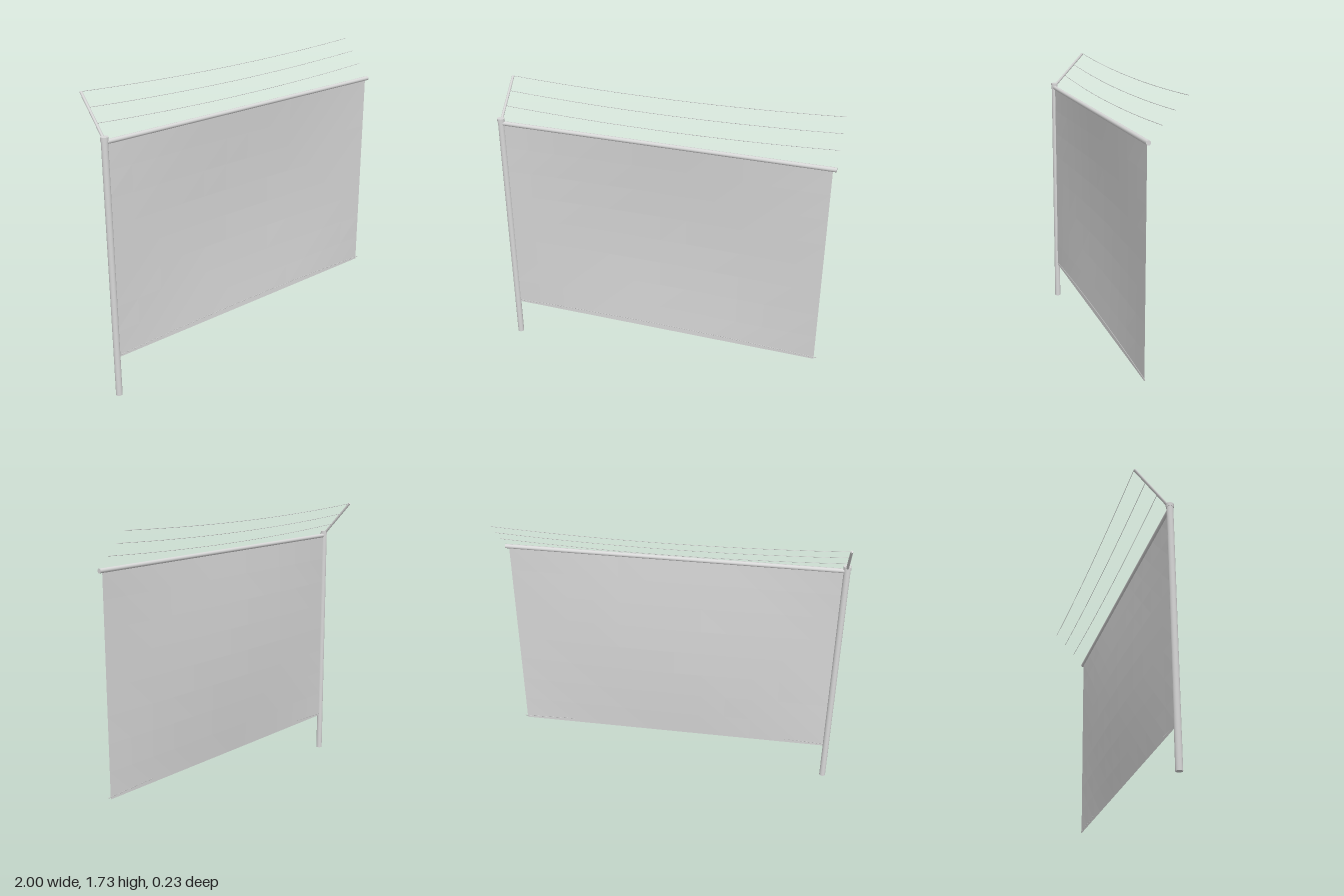
import * as THREE from 'three';

const mat = (name, color, extra = {}) =>
  Object.assign(new THREE.MeshStandardMaterial({ color, ...extra }), { name });

export function createModel() {
  const group = new THREE.Group();
  const steel = mat('galvanised steel', 0xd8d8d8);
  const mesh = mat('fence mesh grey', 0xd6d6d6, { side: THREE.DoubleSide, flatShading: true });
  const wire = mat('wire grey', 0xd0d0d0);
  const Z = 0.09, POST_X = -0.98;

  const add = (name, geometry, material) => {
    const part = new THREE.Mesh(geometry, material);
    part.name = name;
    group.add(part);
    return part;
  };
  // Straight round bar between two points
  const bar = (name, a, b, radius, sides = 12) => {
    const from = new THREE.Vector3(...a), to = new THREE.Vector3(...b);
    const part = add(name, new THREE.CylinderGeometry(radius, radius, from.distanceTo(to), sides), steel);
    part.position.copy(from).add(to).multiplyScalar(0.5);
    part.quaternion.setFromUnitVectors(new THREE.Vector3(0, 1, 0), to.sub(from).normalize());
  };
  // Thin wire whose middle is raised or lowered by bow
  const bowedWire = (name, y, z, bow, radius) => {
    const points = [];
    for (let i = 0; i <= 12; i++) {
      const t = i / 12;
      points.push(new THREE.Vector3(POST_X + 1.98 * t, y + 4 * bow * t * (1 - t), z));
    }
    add(name, new THREE.TubeGeometry(new THREE.CatmullRomCurve3(points), 24, radius, 5), wire);
  };

  // Post, cap, top rail and slanted arm
  bar('post', [POST_X, 0, Z], [POST_X, 1.52, Z], 0.019, 16);
  bar('postCap', [POST_X, 1.513, Z], [POST_X, 1.535, Z], 0.022, 16);
  bar('topRail', [POST_X, 1.505, Z], [1, 1.505, Z], 0.013);
  bar('wireArm', [POST_X, 1.525, 0.08], [POST_X, 1.728, -0.108], 0.008, 8);

  // Mesh panel, bellied backwards in the middle
  const panel = new THREE.PlaneGeometry(1.96, 1.27, 12, 8);
  const p = panel.attributes.position;
  for (let i = 0; i < p.count; i++) {
    const belly = Math.cos(Math.PI * p.getX(i) / 1.96) * Math.cos(Math.PI * p.getY(i) / 1.27);
    p.setZ(i, -0.024 * belly);
  }
  panel.computeVertexNormals();
  add('meshPanel', panel, mesh).position.set(0, 0.873, Z);

  // Three sagging strands on the arm and the tension wire at the bottom
  for (let i = 0; i < 3; i++)
    bowedWire('topStrand' + (i + 1), 1.588 + 0.07 * i, 0.02 - 0.065 * i, -0.027, 0.0015);
  bowedWire('bottomTensionWire', 0.25, Z + 0.001, 0.022, 0.002);

  return group;
}
